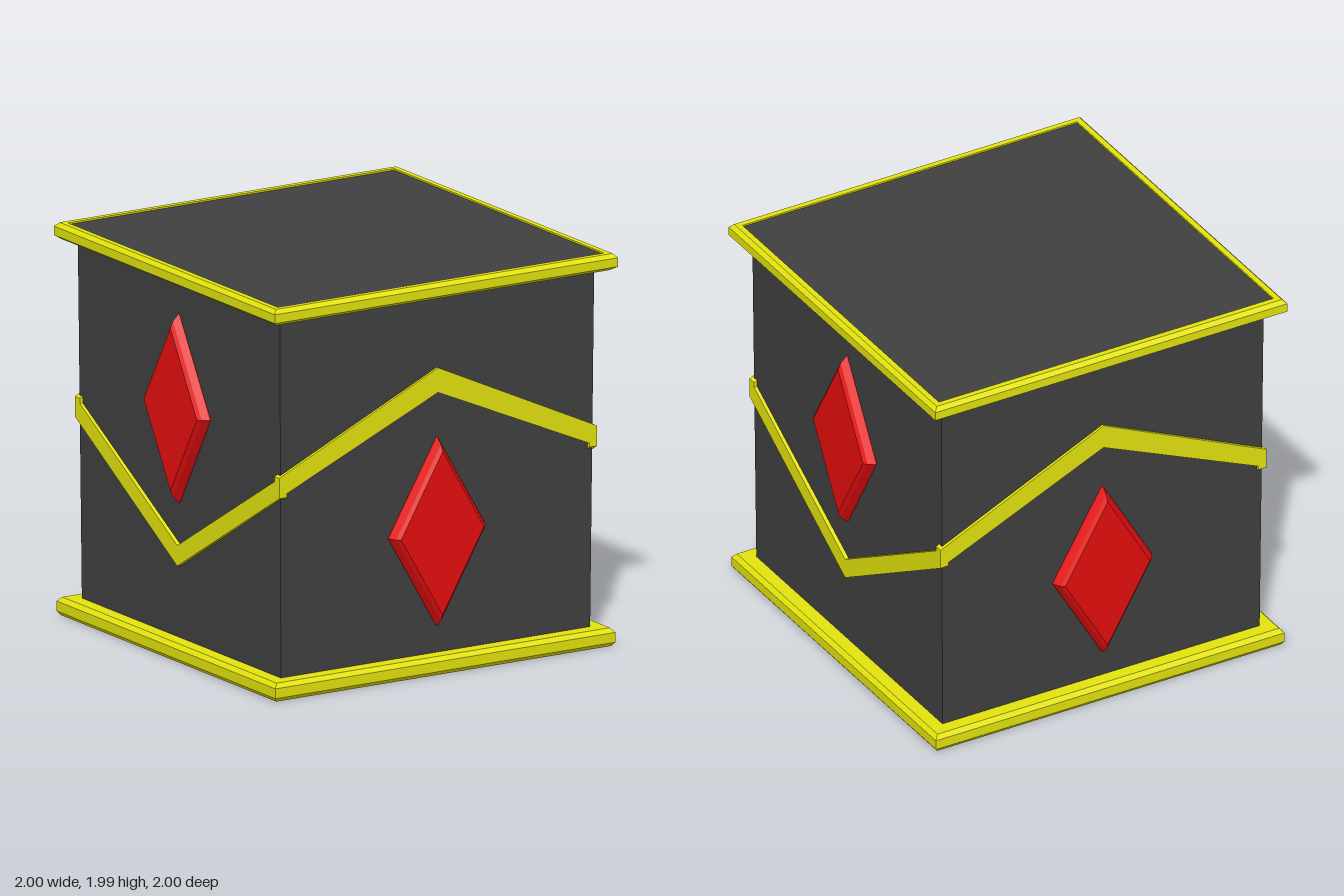
import * as THREE from 'three';

const paint = (color) => new THREE.MeshStandardMaterial({ color, flatShading: true });
const dark = paint(0x404040), yellow = paint(0xe4e40e), red = paint(0xe60e0e);

export function createModel() {
  const model = new THREE.Group();

  const add = (name, geometry, material, parent = model) => {
    const mesh = new THREE.Mesh(geometry, material);
    mesh.name = name;
    parent.add(mesh);
    return mesh;
  };

  // Four-sided solid from a profile of [half width, height], listed bottom to top
  const squareLathe = (profile) => {
    const points = profile.map(([w, y]) => new THREE.Vector2(w * Math.SQRT2, y));
    return new THREE.LatheGeometry(points, 4).rotateY(Math.PI / 4);
  };

  const slab = (width, y0, y1) =>
    new THREE.BoxGeometry(width, y1 - y0, width).translate(0, (y0 + y1) / 2, 0);

  // Slightly flared walls with lid and base panels
  add('walls', squareLathe([[0.90, 0.04], [0.915, 1.95]]), dark);
  add('lidPanel', slab(1.9, 1.93, 1.982), dark);
  add('basePanel', slab(1.95, 0.001, 0.05), dark);

  // Bevelled trims around the lid and base
  add('topTrim', squareLathe([[0.88, 1.905], [0.97, 1.905], [1, 1.925], [1, 1.97],
    [0.98, 1.99], [0.95, 1.99], [0.95, 1.975]]), yellow);
  add('bottomTrim', squareLathe([[0.975, 0], [0.99, 0.02], [0.99, 0.07],
    [0.97, 0.092], [0.88, 0.092]]), yellow);

  // Chevron band: bent strip with ends at fixed height and its peak or dip mid-wall
  const band = (midLow, midHigh) => {
    const w = 0.925;
    const shape = new THREE.Shape([[-w, 1.01], [0, midLow], [w, 1.01],
      [w, 1.113], [0, midHigh], [-w, 1.113]].map(([x, y]) => new THREE.Vector2(x, y)));
    return new THREE.ExtrudeGeometry(shape, { depth: 0.045, bevelEnabled: false })
      .translate(0, 0, 0.88);
  };

  // Diamond gem with two bevels and a flat face
  const gem = (y) => {
    const profile = [[1, 0.88], [1, 0.915], [0.93, 0.95], [0.86, 0.965], [0, 0.965]];
    return new THREE.LatheGeometry(profile.map(([r, h]) => new THREE.Vector2(r, h)), 4)
      .rotateX(Math.PI / 2).scale(0.28, 0.48, 1).translate(0, y, 0);
  };

  // Front and back carry a raised chevron, the sides a lowered one
  ['front', 'left', 'back', 'right'].forEach((side, i) => {
    const group = new THREE.Group();
    group.name = side + 'Decoration';
    group.rotation.y = i * Math.PI / 2;
    const raised = i % 2 === 0;
    add(side + 'Band', raised ? band(1.415, 1.54) : band(0.46, 0.565), yellow, group);
    add(side + 'Gem', gem(raised ? 0.71 : 1.26), red, group);
    model.add(group);
  });

  return model;
}
